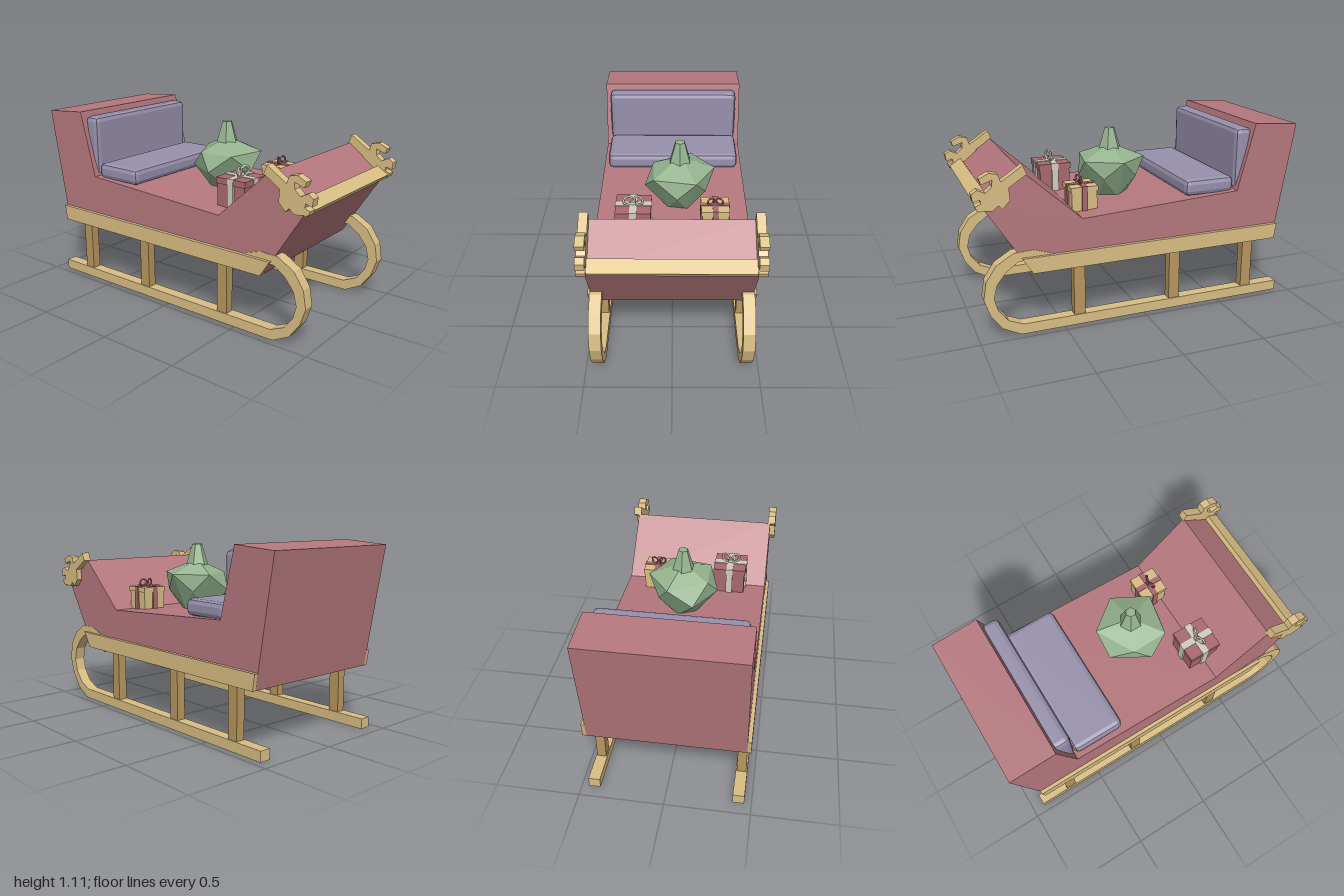
import * as THREE from 'three';
import { RoundedBoxGeometry } from 'three/addons/geometries/RoundedBoxGeometry.js';
import { ConvexGeometry } from 'three/addons/geometries/ConvexGeometry.js';

const mat = (name, color) => {
  const m = new THREE.MeshStandardMaterial({ color });
  m.name = name;
  return m;
};

export function createModel() {
  const model = new THREE.Group();
  model.name = 'sleigh';
  const red = mat('sleigh red', 0xb5787e);
  const gold = mat('pale gold', 0xd9be84);
  const wood = mat('post wood', 0xb8975f);
  const purple = mat('cushion purple', 0x9790ac);
  const green = mat('sack green', 0x95b48f);
  const giftRed = mat('gift red', 0xa8696f);
  const white = mat('ribbon white', 0xcfcdc2);

  const add = (name, geometry, material, x = 0, y = 0, z = 0, parent = model) => {
    const mesh = new THREE.Mesh(geometry, material);
    mesh.name = name;
    mesh.position.set(x, y, z);
    parent.add(mesh);
    return mesh;
  };

  // Side profile given as [z, y] points, extruded across x and centred on x = 0
  const sideExtrude = (points, width) => {
    const shape = new THREE.Shape(points.map(([z, y]) => new THREE.Vector2(z, y)));
    const g = new THREE.ExtrudeGeometry(shape, { depth: width, bevelEnabled: false });
    return g.translate(0, 0, -width / 2).rotateY(-Math.PI / 2);
  };

  // Solid sleigh body with sloped nose, floor and tall back
  add('body', sideExtrude([
    [0.68, 0.37], [0.935, 0.77], [0.71, 0.95], [0.38, 0.65],
    [-0.61, 0.705], [-0.715, 1.11], [-1, 1.09], [-0.88, 0.37],
  ], 0.91), red);

  // Gold bar along the nose
  const bar = add('noseBar', new THREE.BoxGeometry(0.97, 0.032, 0.083), gold, 0, 0.8, 0.93);
  bar.rotation.x = 0.57;

  const trim = [[0.68, 0.37], [0.74, 0.465], [-0.895, 0.465], [-0.88, 0.37]];

  // Runner: outer edge from the tail round the curl, then the inner edge back
  const runner = [
    [-0.925, 0], [0.76, 0], [0.865, 0.055], [0.93, 0.145], [0.963, 0.245], [0.945, 0.35],
    [0.885, 0.44], [0.785, 0.5], [0.67, 0.505], [0.55, 0.465], [0.48, 0.4], [0.53, 0.355],
    [0.59, 0.42], [0.675, 0.45], [0.76, 0.445], [0.83, 0.395], [0.885, 0.325], [0.905, 0.245],
    [0.885, 0.17], [0.83, 0.1], [0.745, 0.062], [-0.925, 0.062],
  ];

  // Curled corner ornament
  const scroll = [
    [0.72, 1], [0.7, 0.95], [0.8, 0.885], [0.795, 0.815], [0.838, 0.77], [0.86, 0.793],
    [0.89, 0.765], [0.975, 0.777], [0.983, 0.8], [0.95, 0.814], [0.956, 0.836], [0.993, 0.825],
    [1, 0.868], [0.967, 0.89], [0.924, 0.868], [0.89, 0.9], [0.886, 0.937], [0.945, 0.916],
    [0.956, 0.948], [0.902, 0.975], [0.854, 0.964], [0.84, 0.921],
  ];

  for (const [side, s] of [['left', 1], ['right', -1]]) {
    add(side + 'Trim', sideExtrude(trim, 0.03), gold, s * 0.462);
    add(side + 'Runner', sideExtrude(runner, 0.068), gold, s * 0.424);
    add(side + 'Scroll', sideExtrude(scroll, 0.05), gold, s * 0.464);
    for (const z of [0.405, -0.2, -0.705]) {
      add(side + 'Post', new THREE.BoxGeometry(0.055, 0.33, 0.068), wood, s * 0.424, 0.215, z);
    }
  }

  // Chamfered cushions
  const cushion = (name, w, h, d, y, z) => {
    const g = new RoundedBoxGeometry(w, h, d, 1, 0.03);
    g.computeVertexNormals();
    add(name, g, purple, 0, y, z);
  };
  cushion('seatCushion', 0.85, 0.1, 0.32, 0.74, -0.44);
  cushion('backCushion', 0.85, 0.38, 0.105, 0.89, -0.658);

  // Faceted sack: rings of [angle in degrees, radius] around its axis
  const sack = new THREE.Group();
  sack.name = 'sack';
  sack.position.set(0.045, 0, 0.065);
  model.add(sack);
  const points = [new THREE.Vector3(0, 0.975, 0)];
  const ring = (y, spots) => spots.forEach(([deg, r]) => {
    const a = THREE.MathUtils.degToRad(deg);
    points.push(new THREE.Vector3(r * Math.cos(a), y, r * Math.sin(a)));
  });
  ring(0.89, [[64, 0.218], [137, 0.215], [205, 0.18], [289, 0.212], [356, 0.212]]);
  ring(0.785, [[175, 0.216], [247, 0.216], [319, 0.18], [31, 0.18], [95, 0.198]]);
  ring(0.655, [[64, 0.1], [136, 0.1], [208, 0.1], [280, 0.1], [352, 0.1]]);
  add('sackBody', new ConvexGeometry(points), green, 0, 0, 0, sack);
  const neck = new THREE.CylinderGeometry(0.031, 0.07, 0.13, 6).toNonIndexed();
  neck.computeVertexNormals();
  add('sackNeck', neck, green, 0, 1.005, 0, sack);

  // Wrapped gift: box, lid, crossed ribbons and a two-loop bow
  const gift = (name, size, height, x, z, paper, ribbon) => {
    const g = new THREE.Group();
    g.name = name;
    g.position.set(x, 0.645, z);
    model.add(g);
    const box = (part, w, h, d, y, m) => add(part, new THREE.BoxGeometry(w, h, d), m, 0, y, 0, g);
    const lid = height * 0.2;
    box('giftBox', size * 0.93, height, size * 0.93, height / 2, paper);
    box('giftLid', size, lid, size, height - lid / 2, paper);
    box('ribbonAcross', size + 0.008, height + 0.008, size * 0.2, height / 2, ribbon);
    box('ribbonAlong', size * 0.2, height + 0.008, size + 0.008, height / 2, ribbon);
    for (const s of [-1, 1]) {
      const loop = add('bowLoop', new THREE.TorusGeometry(size * 0.13, size * 0.035, 5, 10),
        ribbon, s * size * 0.15, height + size * 0.15, size * 0.04, g);
      loop.rotation.y = -s * 0.4;
    }
    box('bowKnot', size * 0.14, size * 0.14, size * 0.14, height + size * 0.05, ribbon);
  };
  gift('redGift', 0.205, 0.18, -0.225, 0.368, giftRed, white);
  gift('goldGift', 0.165, 0.15, 0.25, 0.325, gold, giftRed);

  return model;
}
